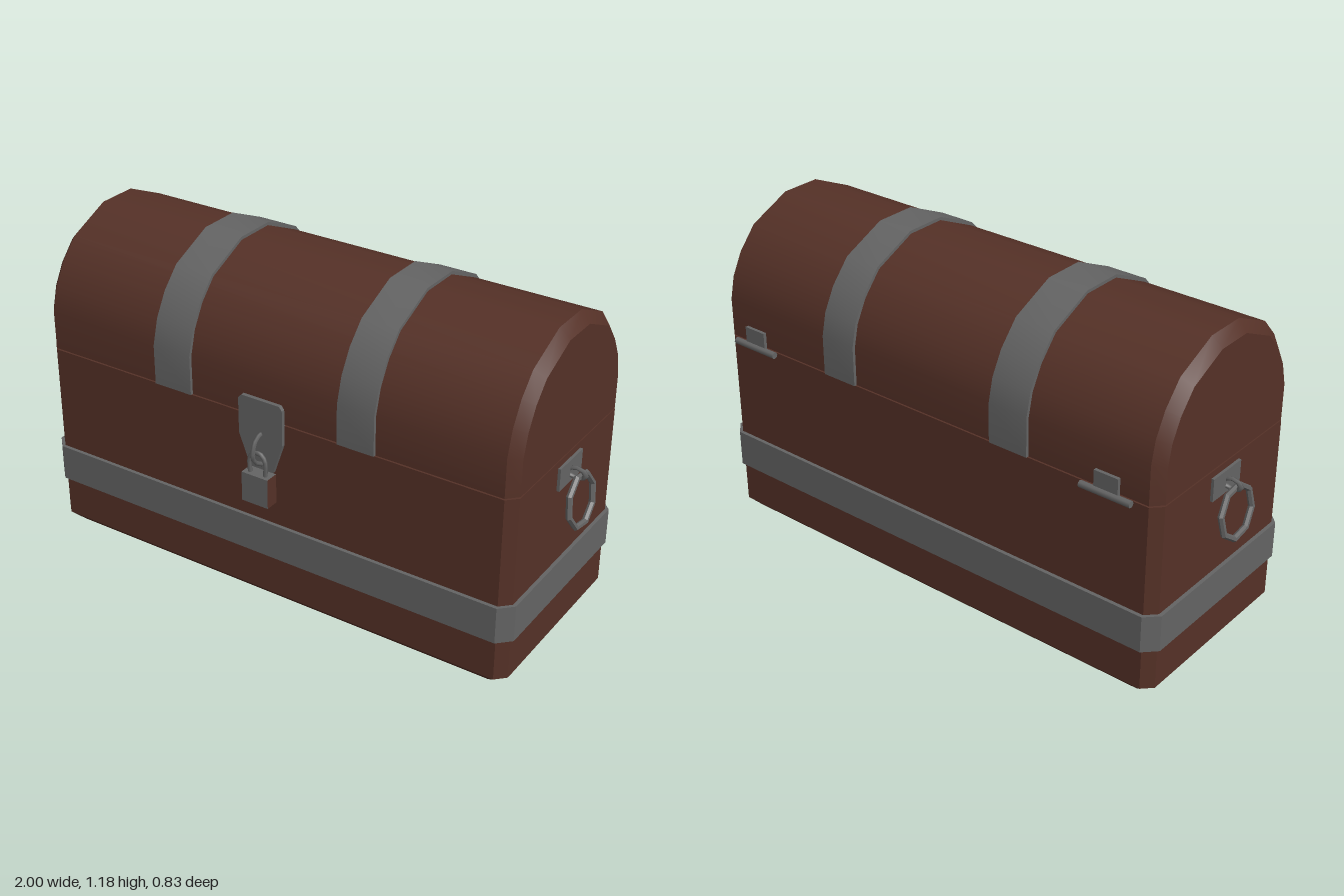
import * as THREE from 'three';
import { toCreasedNormals } from 'three/addons/utils/BufferGeometryUtils.js';

const ZC = -0.0225, HALF_X = 0.925, HALF_Z = 0.3675, SEAM = 0.72;

// Closed solid through rings of points (counter-clockwise about the path direction)
function loft(rings, crease = 0.6) {
  const n = rings[0].length, index = [];
  rings.slice(1).forEach((_, r) => {
    for (let i = 0; i < n; i++) {
      const a = r * n + i, b = r * n + (i + 1) % n;
      index.push(a, b, b + n, a, b + n, a + n);
    }
  });
  const end = (rings.length - 1) * n;
  for (let i = 1; i < n - 1; i++) {
    index.push(0, i + 1, i, end, end + i, end + i + 1);
  }
  const geometry = new THREE.BufferGeometry();
  geometry.setAttribute('position', new THREE.Float32BufferAttribute(rings.flat(2), 3));
  geometry.setIndex(index);
  return toCreasedNormals(geometry, crease);
}

// Rectangle with cut corners at height y, grown outward by d
function boxRing(y, d = 0, cut = 0.035) {
  const x = HALF_X + d, z = HALF_Z + d;
  return [
    [-x + cut, z], [x - cut, z], [x, z - cut], [x, -z + cut],
    [x - cut, -z], [-x + cut, -z], [-x, -z + cut], [-x, z - cut],
  ].map(([px, pz]) => [px, y, pz + ZC]);
}

// Arched lid section (z, y) from back to front
const ARCH = [
  [-0.39, 0.72], [-0.39, 0.86], [-0.372, 0.94], [-0.33, 1.02], [-0.26, 1.1], [-0.1, 1.172],
  [0.05, 1.172], [0.21, 1.1], [0.275, 1.03], [0.32, 0.95], [0.345, 0.86], [0.345, 0.72],
];
function archRing(x, d = 0) {
  return ARCH.map(([z, y]) => [
    x, SEAM + (y - SEAM) * (1 + d / 0.452), ZC + (z - ZC) * (1 + d / HALF_Z),
  ]);
}

export function createModel() {
  const wood = new THREE.MeshStandardMaterial({ color: 0x553127 });
  wood.name = 'brown wood';
  const iron = new THREE.MeshStandardMaterial({ color: 0x646464 });
  iron.name = 'grey iron';

  const chest = new THREE.Group();
  chest.name = 'chest';
  function add(name, geometry, material, x = 0, y = 0, z = 0, parent = chest) {
    const mesh = new THREE.Mesh(geometry, material);
    mesh.name = name;
    mesh.position.set(x, y, z);
    parent.add(mesh);
    return mesh;
  }
  const box = (w, h, d) => new THREE.BoxGeometry(w, h, d);

  // Body and the iron belt around it
  add('body', loft([boxRing(0, -0.035), boxRing(0.037), boxRing(0.715)]), wood);
  add('belt', loft([boxRing(0.19, 0.013, 0.045), boxRing(0.324, 0.013, 0.045)]), iron);

  // Lid with bevelled ends and two straps
  add('lid', loft([
    archRing(-HALF_X, -0.037), archRing(-0.89), archRing(0.89), archRing(HALF_X, -0.037),
  ]), wood);
  for (const [x0, x1] of [[-0.437, -0.287], [0.295, 0.433]]) {
    add('lidStrap', loft([archRing(x0, 0.011), archRing(x1, 0.011)]), iron);
  }

  // Back hinges
  for (const x of [-0.74, 0.77]) {
    const hinge = new THREE.Group();
    hinge.name = 'hinge';
    hinge.position.set(x, 0.71, -0.4);
    chest.add(hinge);
    add('hingePin', new THREE.CylinderGeometry(0.012, 0.012, 0.19, 8).rotateZ(Math.PI / 2),
      iron, 0, 0, -0.002, hinge);
    add('hingeLeaf', box(0.09, 0.07, 0.012), iron, 0, 0.033, 0.004, hinge);
  }

  // Hasp plate
  const plate = new THREE.Shape([
    [-0.088, 0.645], [-0.045, 0.53], [0.047, 0.53], [0.086, 0.645],
    [0.086, 0.775], [0.075, 0.789], [-0.075, 0.789], [-0.088, 0.775],
  ].map(([x, y]) => new THREE.Vector2(x, y)));
  add('haspPlate', new THREE.ExtrudeGeometry(plate, { depth: 0.016, bevelEnabled: false }),
    iron, 0, 0, 0.343);

  // Staple that the padlock hangs from
  const staple = new THREE.CatmullRomCurve3([
    [0.35, 0.665], [0.385, 0.655], [0.405, 0.605], [0.395, 0.575], [0.35, 0.545],
  ].map(([z, y]) => new THREE.Vector3(0, y, z)));
  add('staple', new THREE.TubeGeometry(staple, 8, 0.008, 5), iron);

  // Padlock with brown cheeks
  add('padlockBody', box(0.105, 0.11, 0.05), [wood, wood, iron, iron, iron, iron],
    -0.003, 0.465, 0.37);
  const shackle = new THREE.CatmullRomCurve3([
    [-0.033, 0.51], [-0.033, 0.575], [-0.015, 0.597], [0.012, 0.597], [0.028, 0.575], [0.028, 0.51],
  ].map(([x, y]) => new THREE.Vector3(x, y, 0.376)));
  add('padlockShackle', new THREE.TubeGeometry(shackle, 14, 0.008, 5), iron);

  // Ring handles on both ends
  const ringGeometry = toCreasedNormals(
    new THREE.TorusGeometry(0.09, 0.011, 6, 8).rotateZ(Math.PI / 8 * 0.6).rotateY(Math.PI / 2), 0.6);
  for (const s of [-1, 1]) {
    const handle = new THREE.Group();
    handle.name = s > 0 ? 'leftHandle' : 'rightHandle';
    chest.add(handle);
    add('handlePlate', box(0.012, 0.082, 0.156), iron, s * 0.929, 0.65, -0.023, handle);
    add('handleEye', new THREE.TorusGeometry(0.027, 0.009, 5, 8).scale(1.15, 0.7, 1),
      iron, s * 0.955, 0.646, -0.023, handle);
    add('handleRing', ringGeometry, iron, s * 0.977, 0.553, -0.023, handle).rotation.z = s * 0.13;
  }

  return chest;
}
